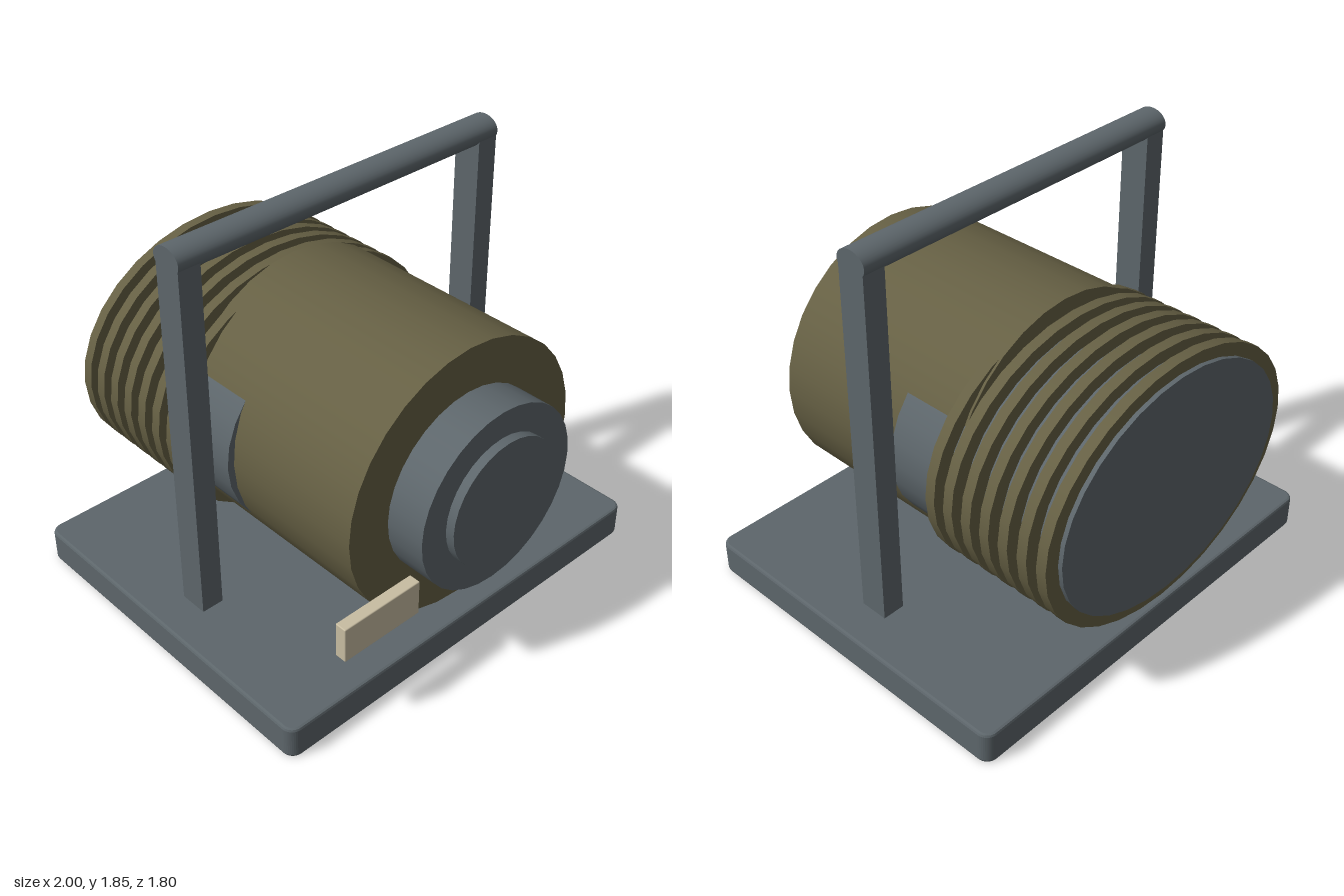
import * as THREE from 'three';
import { RoundedBoxGeometry } from 'three/addons/geometries/RoundedBoxGeometry.js';

const material = (name, color) => {
  const m = new THREE.MeshStandardMaterial({ color });
  m.name = name;
  return m;
};

export function createModel() {
  const grey = material('slate grey', 0x5d666b);
  const olive = material('olive', 0x666044);
  const tan = material('tan', 0xc8bda2);
  const model = new THREE.Group();
  model.name = 'lampOnStand';

  const add = (name, geometry, mat, x, y, z, parent = model) => {
    const mesh = new THREE.Mesh(geometry, mat);
    mesh.name = name;
    mesh.position.set(x, y, z);
    parent.add(mesh);
    return mesh;
  };

  // Elliptical drum lying along z between two depths
  const drum = (name, rx, ry, z0, z1, mat, parent = model) => {
    const g = new THREE.CylinderGeometry(1, 1, z1 - z0, 32);
    g.rotateX(Math.PI / 2).scale(rx, ry, 1);
    return add(name, g, mat, 0, 0.797, (z0 + z1) / 2, parent);
  };

  // Base plate with rounded corners and a fine bevel
  const bevel = 0.012, r = 0.04, w = 1 - bevel, d = 0.815 - bevel;
  const outline = new THREE.Shape();
  outline.absarc(w - r, d - r, r, 0, Math.PI / 2);
  outline.absarc(-w + r, d - r, r, Math.PI / 2, Math.PI);
  outline.absarc(-w + r, -d + r, r, Math.PI, Math.PI * 1.5);
  outline.absarc(w - r, -d + r, r, Math.PI * 1.5, Math.PI * 2);
  const plate = new THREE.ExtrudeGeometry(outline, {
    depth: 0.15 - 2 * bevel, bevelEnabled: true, bevelThickness: bevel,
    bevelSize: bevel, bevelSegments: 2, curveSegments: 5,
  });
  plate.rotateX(-Math.PI / 2);
  add('base', plate, grey, 0, bevel, -0.045);

  // Main body, front collar and front cap
  drum('body', 0.618, 0.605, -0.315, 0.68, olive);
  drum('frontCollar', 0.417, 0.406, 0.6, 0.86, grey);
  drum('frontCap', 0.288, 0.285, 0.8, 0.9, grey);

  // Rear core with cooling fins
  drum('rearCore', 0.65, 0.515, -0.9, 0.01, grey);
  const fins = new THREE.Group();
  fins.name = 'coolingFins';
  model.add(fins);
  for (let i = 0; i < 7; i++) {
    const z = -0.857 + i * 0.096;
    drum('coolingFin', 0.717, 0.57, z - 0.0235, z + 0.0235, olive, fins);
  }

  // Carrying frame: two posts and an oval bar
  for (const side of [-1, 1]) {
    add(side > 0 ? 'leftPost' : 'rightPost', new THREE.BoxGeometry(0.102, 1.655, 0.13),
      grey, side * 0.779, 0.9675, -0.041);
  }
  const bar = new THREE.CylinderGeometry(1, 1, 1.66, 32);
  bar.rotateZ(Math.PI / 2).scale(1, 0.055, 0.073);
  add('handleBar', bar, grey, 0, 1.795, -0.043);

  // Small plate beside the front collar
  add('sidePlate', new RoundedBoxGeometry(0.396, 0.165, 0.054, 2, 0.005), tan, -0.542, 0.447, 0.763);

  return model;
}
